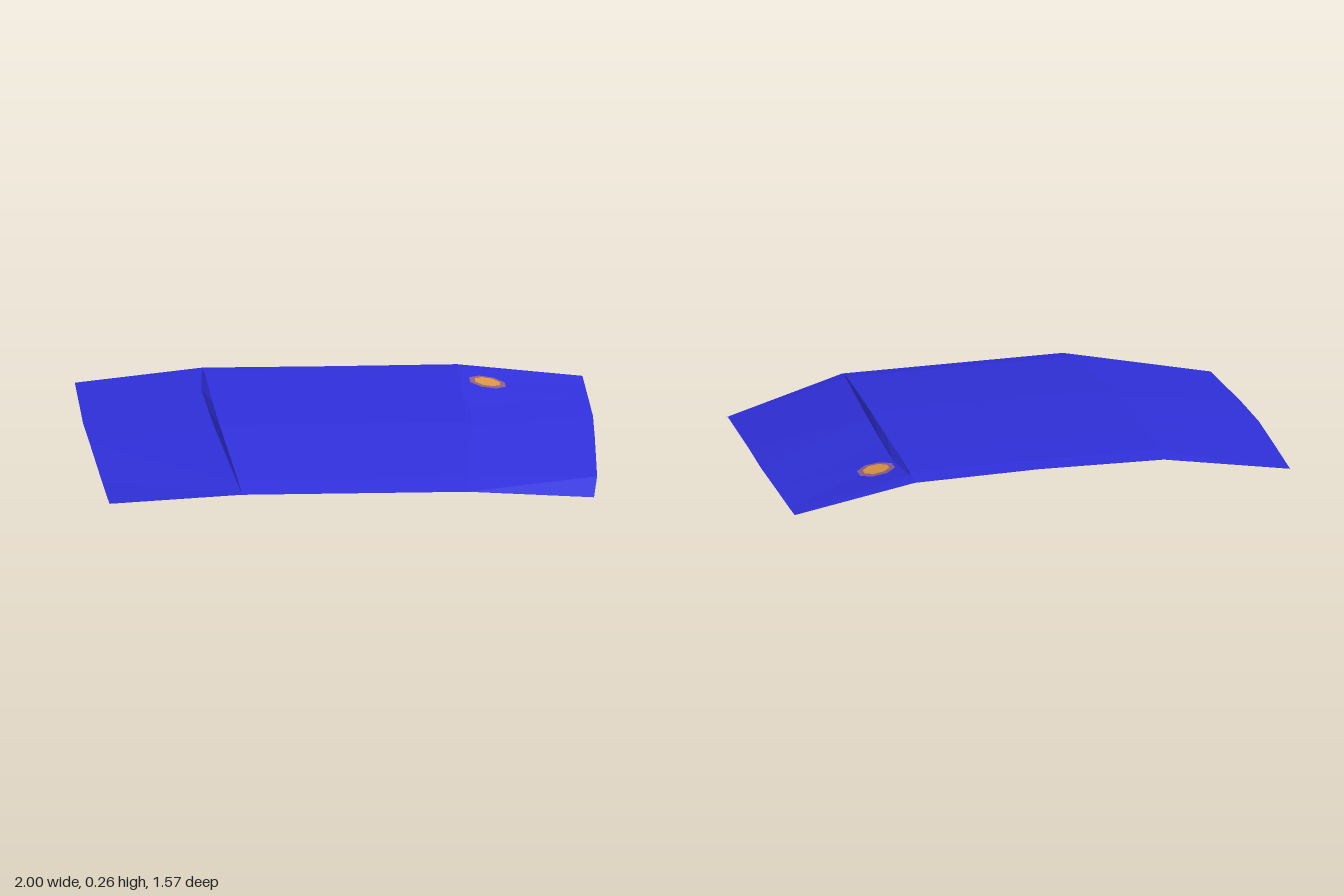
import * as THREE from 'three';

const material = (name, color) =>
  new THREE.MeshStandardMaterial({ name, color, side: THREE.DoubleSide, flatShading: true });

// Lengthwise edges of one half, front to back: [x, y, z]
const MIDDLE = [[0, .065, .78], [0, .1, .665], [0, .2, .1], [0, .228, -.2], [0, .25, -.44], [0, .262, -.64], [0, .257, -.715]];
const RIDGE = [[.44, .065, .78], [.45, .1, .665], [.485, .2, .1], [.493, .228, -.2], [.496, .25, -.44], [.5, .262, -.64], [.5, .255, -.73]];
const GROOVE = [[.443, .065, .78], [.455, .094, .665], [.5, .178, .1], [.513, .205, -.2], [.522, .23, -.44], [.505, .258, -.66], [.5, .255, -.73]];
const OUTER = [[.95, 0, .61], [.97, .058, .49], [.99, .12, .04], [1, .148, -.22], [.998, .167, -.47], [.996, .183, -.7], [.995, .19, -.785]];

// Faceted sheet between two lengthwise edges; side = -1 mirrors it
function strip(inner, outer, side) {
  const out = [];
  const put = (...points) => points.forEach(([x, y, z]) => out.push(x * side, y, z));
  for (let i = 0; i < inner.length - 1; i++) {
    const [a, b, c, d] = [inner[i], outer[i], outer[i + 1], inner[i + 1]];
    if (side > 0) put(a, b, c, a, c, d);
    else put(a, c, b, a, d, c);
  }
  const geometry = new THREE.BufferGeometry();
  geometry.setAttribute('position', new THREE.Float32BufferAttribute(out, 3));
  geometry.computeVertexNormals();
  return geometry;
}

// Polygon draped over a panel at a small offset
function drape(panel, radius, x, z, lift) {
  const geometry = new THREE.CircleGeometry(radius, 8, Math.PI / 8).rotateX(-Math.PI / 2).translate(x, 0, z);
  const position = geometry.attributes.position;
  const ray = new THREE.Raycaster();
  for (let i = 0; i < position.count; i++) {
    ray.set(new THREE.Vector3(position.getX(i), 1, position.getZ(i)), new THREE.Vector3(0, -1, 0));
    position.setY(i, ray.intersectObject(panel)[0].point.y + lift);
  }
  geometry.computeVertexNormals();
  return geometry;
}

export function createModel() {
  const group = new THREE.Group();
  group.name = 'hood';
  const blue = material('blue paint', 0x3030dc);
  const mauve = material('mauve rim', 0x8c6088);
  const orange = material('orange spot', 0xdc9644);

  const add = (name, geometry, mat) => {
    const mesh = new THREE.Mesh(geometry, mat);
    mesh.name = name;
    group.add(mesh);
    return mesh;
  };

  // Raised centre, step walls and sloping side panels
  let leftPanel;
  for (const [label, side] of [['right', -1], ['left', 1]]) {
    add(label + 'CentrePanel', strip(MIDDLE, RIDGE, side), blue);
    add(label + 'StepWall', strip(RIDGE, GROOVE, side), blue);
    leftPanel = add(label + 'SidePanel', strip(GROOVE, OUTER, side), blue);
  }

  // Round spot, showing above and below the sheet
  for (const [label, dir] of [['upper', 1], ['lower', -1]]) {
    add(label + 'SpotRim', drape(leftPanel, .076, .605, -.51, dir * .003), mauve);
    add(label + 'SpotCentre', drape(leftPanel, .053, .605, -.51, dir * .005), orange);
  }
  return group;
}
